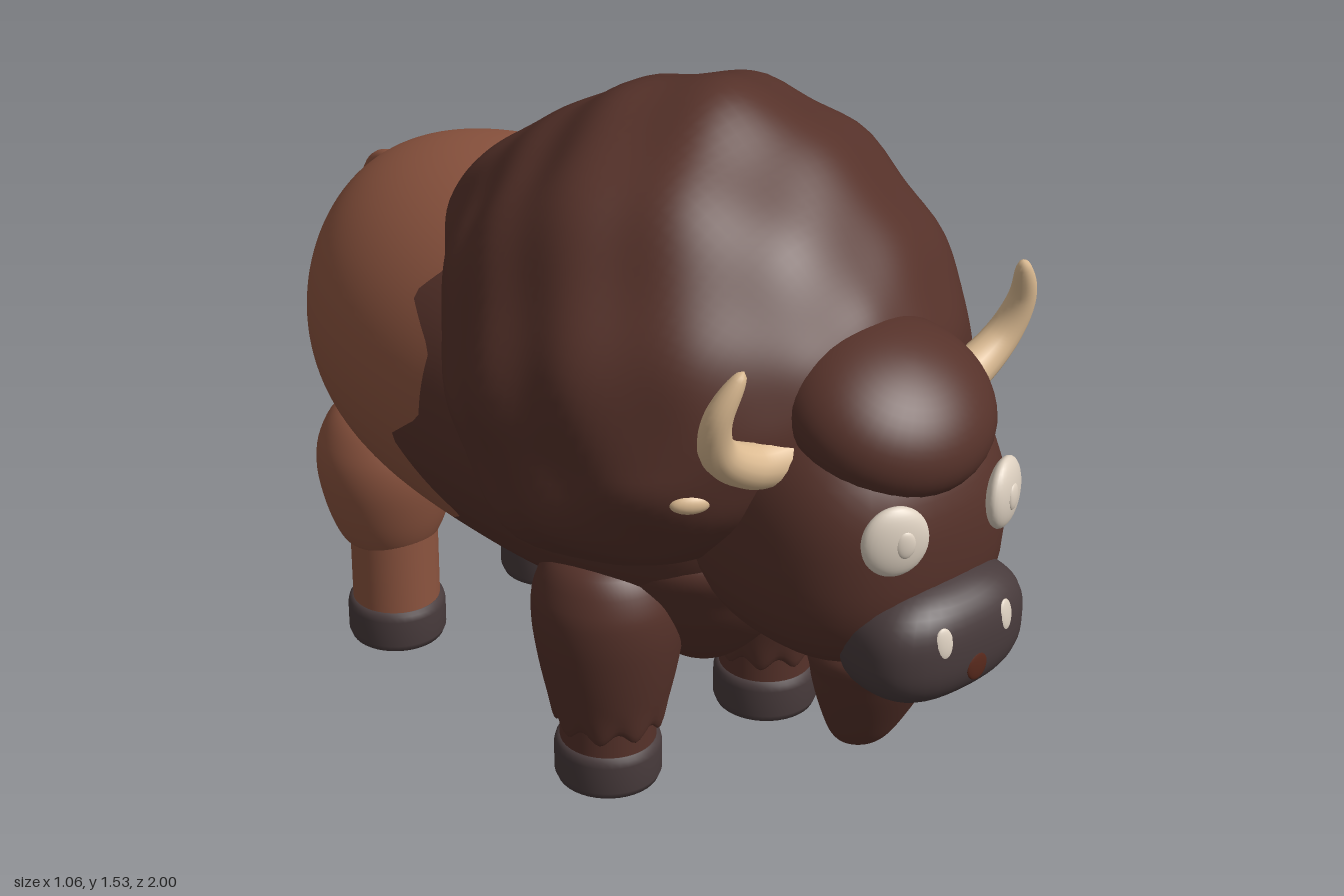
import * as THREE from 'three';
import { mergeVertices } from 'three/addons/utils/BufferGeometryUtils.js';
import { ParametricGeometry } from 'three/addons/geometries/ParametricGeometry.js';

const material = (name, color) => {
  const m = new THREE.MeshStandardMaterial({ color });
  m.name = name;
  return m;
};

// weld seams and recompute smooth normals
function smooth(geo) {
  geo.deleteAttribute('normal');
  geo.deleteAttribute('uv');
  const g = mergeVertices(geo, 1e-4);
  g.computeVertexNormals();
  return g;
}

// move every vertex by a rule
function reshape(geo, rule) {
  const p = geo.attributes.position, v = new THREE.Vector3();
  for (let i = 0; i < p.count; i++) {
    v.fromBufferAttribute(p, i);
    rule(v, i);
    p.setXYZ(i, v.x, v.y, v.z);
  }
  return geo;
}

// ellipsoid; n above 2 makes it boxier
function ball(rx, ry, rz, n = 2, detail = 40) {
  const geo = reshape(new THREE.SphereGeometry(1, detail, detail * 0.7), (v) => {
    const k = (Math.abs(v.x) ** n + Math.abs(v.y) ** n + Math.abs(v.z) ** n) ** (1 / n);
    v.set(v.x * rx / k, v.y * ry / k, v.z * rz / k);
  });
  return smooth(geo);
}

// spline-smoothed lathe from a few [radius, y] points
function turned(points, steps = 30) {
  const curve = new THREE.SplineCurve(points.map(([r, y]) => new THREE.Vector2(r, y)));
  const profile = curve.getPoints(steps).map((p) => new THREE.Vector2(Math.max(0, p.x), p.y));
  return new THREE.LatheGeometry(profile, 72);
}

// tube whose radius follows a function of its length
function taperedTube(points, radius) {
  const curve = new THREE.CatmullRomCurve3(points.map((p) => new THREE.Vector3(...p)));
  const n = 40, sides = 16;
  return smooth(reshape(new THREE.TubeGeometry(curve, n, 1, sides), (v, i) => {
    const t = Math.floor(i / (sides + 1)) / n, c = curve.getPointAt(t);
    v.sub(c).multiplyScalar(radius(t)).add(c);
  }));
}

// edge between dark front coat and brown rear coat: [degrees from top, z]
const COAT_EDGE = [[0, -0.2], [36, -0.18], [56, -0.275], [68, -0.165], [88, -0.165], [100, -0.28],
  [122, -0.12], [132, -0.21], [148, -0.13], [160, -0.24], [180, -0.14]];
function coatEdge(u) {
  const deg = 180 - Math.abs(u * 360 - 180);
  const i = Math.max(1, COAT_EDGE.findIndex(([d]) => d >= deg - 1e-6));
  const [d0, z0] = COAT_EDGE[i - 1], [d1, z1] = COAT_EDGE[i];
  return z0 + (z1 - z0) * (deg - d0) / (d1 - d0);
}

// barrel body, either the part ahead of the coat edge or behind it
function bodyPart(rear) {
  return smooth(new ParametricGeometry((u, v, out) => {
    const s = -0.15 - coatEdge(u);
    const edge = Math.asin(s / (s > 0 ? 0.75 : 0.64));
    const phi = rear ? edge + (Math.PI / 2 - edge) * v : -Math.PI / 2 + (edge + Math.PI / 2) * v;
    const d = Math.sin(phi), a = u * Math.PI * 2;
    const w = 0.44 * Math.max(0, 1 - Math.abs(d) ** 2.4) ** (1 / 2.4);
    const h = 0.414 * Math.cbrt(Math.max(0, 1 - Math.abs(d) ** 3));
    out.set(w * Math.sin(a), 0.772 + h * Math.cos(a), -0.15 - d * (d > 0 ? 0.75 : 0.64));
  }, 120, 36));
}

// shaggy hump; rows are [z, top, widest height, bottom, half width]
function maneGeometry() {
  const rows = [[0.73, 1.05, 1.05, 1.05, 0], [0.71, 1.14, 0.99, 0.88, 0.17], [0.66, 1.22, 0.97, 0.8, 0.28],
    [0.56, 1.34, 0.95, 0.71, 0.41], [0.42, 1.445, 0.94, 0.62, 0.49], [0.28, 1.51, 0.94, 0.555, 0.52],
    [0.13, 1.51, 0.95, 0.55, 0.52], [0, 1.46, 0.96, 0.67, 0.48], [-0.12, 1.395, 1.02, 0.82, 0.41],
    [-0.26, 1.305, 1.06, 0.92, 0.29], [-0.38, 1.225, 1.09, 1, 0.19], [-0.42, 1.18, 1.18, 1.18, 0]];
  const spline = (a, b, c) => new THREE.CatmullRomCurve3(
    rows.map((r) => new THREE.Vector3(r[a], r[b], r[c])), false, 'catmullrom', 0.5);
  const upper = spline(0, 1, 2), lower = spline(3, 4, 4);
  return smooth(new ParametricGeometry((u, v, out) => {
    const p = upper.getPoint(v), q = lower.getPoint(v), a = u * Math.PI * 2;
    const c = Math.cos(a), s = Math.sin(a);
    const n = c < 0 ? 2.8 : 1.85;
    const k = (Math.abs(c) ** n + Math.abs(s) ** n) ** (-1 / n);
    const lump = 1 + Math.sin(Math.PI * v) * (0.013 * Math.sin(9 * a + 17 * v) + 0.013 * Math.sin(7 * a - 37 * v));
    const h = c > 0 ? p.y - p.z : p.z - q.x;
    out.set(Math.max(0, q.y) * s * k * lump, p.z + h * c * k * lump, p.x);
  }, 110, 72));
}

export function createModel() {
  const dark = material('dark brown coat', 0x56322a);
  const brown = material('brown coat', 0x8c543f);
  const grey = material('hoof grey', 0x483b3c);
  const horn = material('horn', 0xdcbb92);
  const cream = material('cream', 0xddd0c0);
  const lip = material('mouth brown', 0x58291c);

  const model = new THREE.Group();
  model.name = 'bison';
  const add = (name, geo, mat, x = 0, y = 0, z = 0, ry = 0, rx = 0) => {
    const m = new THREE.Mesh(geo, mat);
    m.name = name;
    m.position.set(x, y, z);
    m.rotation.set(rx, ry, 0);
    model.add(m);
    return m;
  };

  // body, hump and chest
  add('bodyRear', bodyPart(true), brown);
  add('bodyFront', bodyPart(false), dark);
  add('mane', maneGeometry(), dark);
  add('chest', turned([[0, 0.24], [0.08, 0.265], [0.17, 0.36], [0.235, 0.47], [0.26, 0.6], [0, 0.74]]), dark, 0, 0, 0.22);

  // head
  add('head', ball(0.285, 0.285, 0.29, 2.5), dark, 0, 0.77, 0.63);
  add('foreheadTuft', ball(0.217, 0.135, 0.205), dark, 0, 1.025, 0.735, 0, 0.47);
  add('muzzle', ball(0.195, 0.125, 0.127, 2.6), grey, 0, 0.605, 0.87);
  add('mouth', ball(0.026, 0.031, 0.006, 2, 20), lip, 0, 0.57, 0.994);
  const beard = turned([[0, 0.255], [0.055, 0.27], [0.095, 0.34], [0.135, 0.45], [0.14, 0.53], [0, 0.62]]);
  reshape(beard, (v) => { v.z = v.z * 0.88 + (v.y - 0.26) * 0.18; });
  add('beard', smooth(beard), dark, 0, 0, 0.69);

  for (const s of [-1, 1]) {
    const side = s > 0 ? 'left' : 'right';
    add(side + 'Eye', ball(0.067, 0.073, 0.027, 2, 28), cream, s * 0.145, 0.855, 0.905, s * 0.42);
    add(side + 'Pupil', ball(0.02, 0.028, 0.008, 2, 20), cream, s * 0.143, 0.857, 0.931, s * 0.4);
    add(side + 'Nostril', ball(0.02, 0.032, 0.007, 2, 20), cream, s * 0.083, 0.645, 0.984, s * 0.22, -0.15);
    add(side + 'Ear', ball(0.042, 0.022, 0.02, 2, 20), horn, s * 0.365, 0.88, 0.585, s * 0.5);
    add(side + 'Horn', taperedTube([[s * 0.19, 0.95, 0.66], [s * 0.29, 0.965, 0.66], [s * 0.375, 1.025, 0.67],
      [s * 0.4, 1.11, 0.695], [s * 0.365, 1.21, 0.725]],
    (t) => 0.054 * (1 - 0.65 * t) * Math.sqrt(Math.max(0, 1 - t ** 14))), horn);

    // front leg with ragged hair over the hoof
    const hair = turned([[0.09, 0.18], [0.112, 0.155], [0.13, 0.22], [0.15, 0.32], [0.16, 0.41], [0.152, 0.48], [0.11, 0.55], [0, 0.585]]);
    reshape(hair, (v) => {
      const a = Math.atan2(v.z, v.x);
      v.y += 0.013 * Math.cos(9 * a) * Math.max(0, 1 - Math.max(0, v.y - 0.165) / 0.06);
    });
    add(side + 'FrontLeg', smooth(hair), dark, s * 0.225, 0, 0.178);
    // rear thigh
    add(side + 'RearThigh', smooth(turned([[0.08, 0.255], [0.105, 0.26], [0.135, 0.33], [0.155, 0.43], [0.145, 0.51],
      [0.1, 0.58], [0, 0.62]])), brown, s * 0.22, 0, -0.592);

    // shanks and hooves
    for (const [end, x, z, r, coat] of [['Front', 0.225, 0.175, 0.102, dark], ['Rear', 0.22, -0.575, 0.098, brown]]) {
      add(side + end + 'Shank', new THREE.CylinderGeometry(r, r, 0.22, 40), coat, s * x, 0.2, z);
      const R = r + 0.012;
      const profile = [[0, 0], [R - 0.026, 0], [R - 0.02, 0.001], [R - 0.006, 0.009], [R, 0.024], [R, 0.085],
        [R - 0.003, 0.098], [R - 0.01, 0.105], [R - 0.016, 0.105], [0, 0.105]];
      add(side + end + 'Hoof', new THREE.LatheGeometry(profile.map((p) => new THREE.Vector2(...p)), 40), grey, s * x, 0, z);
    }
  }

  // tail
  add('tail', taperedTube([[0, 1.01, -0.77], [0, 1.02, -0.84], [0, 0.995, -0.895], [0, 0.9, -0.935], [0, 0.76, -0.95],
    [0, 0.58, -0.945]], () => 0.021), brown);
  add('tailTuft', ball(0.055, 0.08, 0.055, 2, 28), dark, 0, 0.572, -0.945);

  return model;
}
